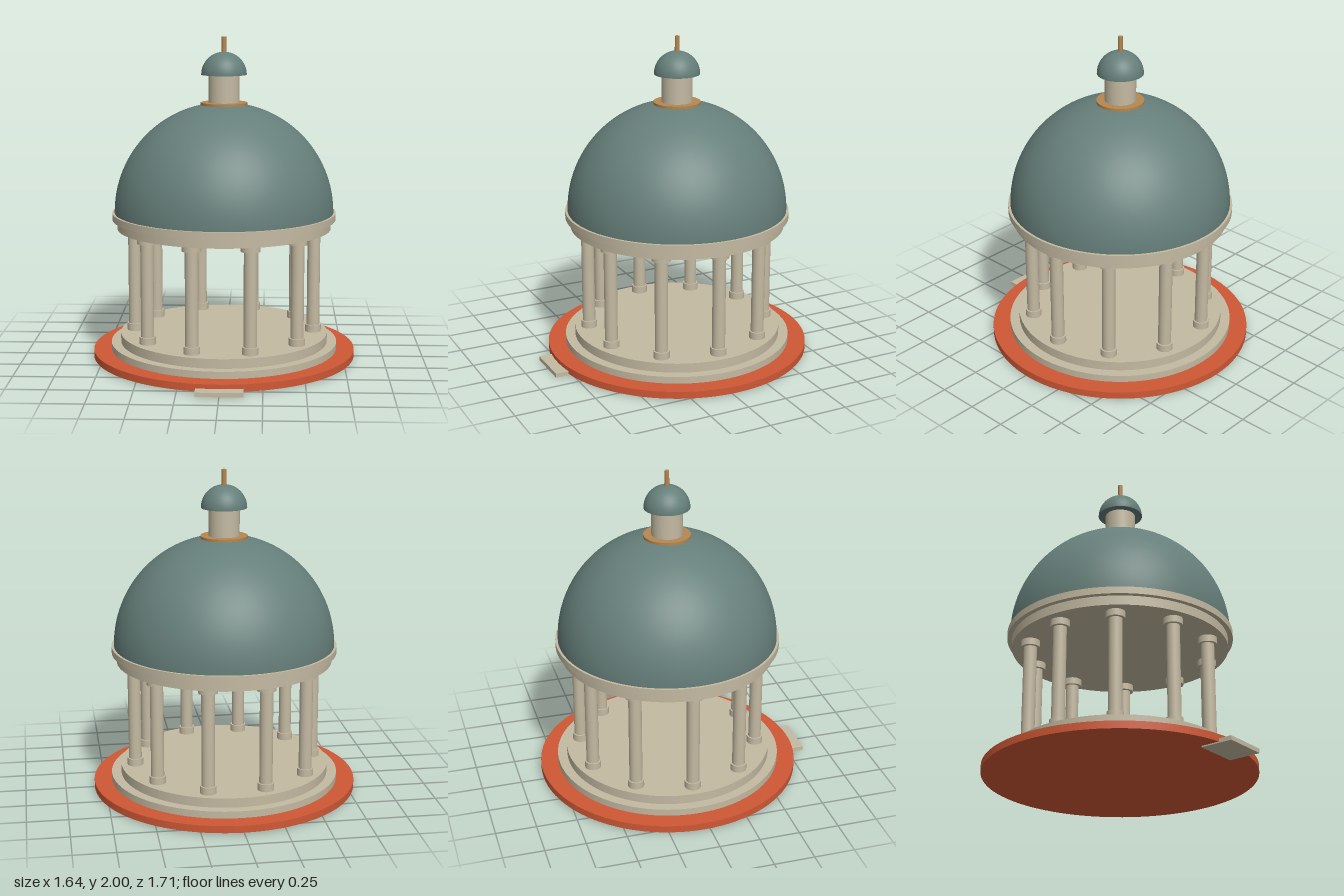
import * as THREE from 'three';

const mat = (name, color) => {
  const m = new THREE.MeshStandardMaterial({ color });
  m.name = name;
  return m;
};

export function createModel() {
  const stone = mat('stone', 0xc4baa2);
  const copper = mat('verdigris', 0x667f7a);
  const brick = mat('terracotta', 0xcf5835);
  const gold = mat('gold', 0xb5874f);

  const model = new THREE.Group();
  model.name = 'domedRotunda';
  // Everything round shares one axis, set slightly back to make room for the step
  const rotunda = new THREE.Group();
  rotunda.name = 'rotunda';
  rotunda.position.z = -0.035;
  model.add(rotunda);

  // Upright drum between two heights
  const drum = (name, parent, material, radius, y0, y1, sides = 96) => {
    const mesh = new THREE.Mesh(new THREE.CylinderGeometry(radius, radius, y1 - y0, sides), material);
    mesh.name = name;
    mesh.position.y = (y0 + y1) / 2;
    parent.add(mesh);
    return mesh;
  };

  // Hemisphere with a flat underside
  const dome = (name, radius, y, sides) => {
    const group = new THREE.Group();
    group.name = name;
    group.position.y = y;
    const shell = new THREE.Mesh(
      new THREE.SphereGeometry(radius, sides, sides / 3, 0, Math.PI * 2, 0, Math.PI / 2), copper);
    shell.name = name + 'Shell';
    const underside = new THREE.Mesh(new THREE.CircleGeometry(radius, sides), copper);
    underside.name = name + 'Underside';
    underside.rotation.x = Math.PI / 2;
    group.add(shell, underside);
    rotunda.add(group);
  };

  // Base and stepped plinth
  drum('groundDisc', rotunda, brick, 0.82, 0.008, 0.052);
  drum('lowerPlinth', rotunda, stone, 0.71, 0.052, 0.095);
  drum('upperPlinth', rotunda, stone, 0.65, 0.095, 0.153);

  // Ring of ten columns
  const count = 10;
  for (let i = 0; i < count; i++) {
    const a = ((i + 0.5) / count) * Math.PI * 2;
    const column = new THREE.Group();
    column.name = 'column';
    column.position.set(Math.sin(a) * 0.562, 0, Math.cos(a) * 0.562);
    drum('columnBase', column, stone, 0.05, 0.153, 0.198, 24);
    drum('columnShaft', column, stone, 0.04, 0.198, 0.775, 24);
    drum('columnCapital', column, stone, 0.058, 0.775, 0.817, 24);
    rotunda.add(column);
  }

  // Entablature and main dome
  drum('architrave', rotunda, stone, 0.665, 0.817, 0.875);
  drum('cornice', rotunda, stone, 0.695, 0.875, 0.918);
  dome('mainDome', 0.68, 0.916, 96);

  // Lantern, its cap and the finial
  drum('lanternCollar', rotunda, gold, 0.144, 1.582, 1.598, 64);
  drum('lantern', rotunda, stone, 0.095, 1.59, 1.772, 48);
  dome('lanternDome', 0.14, 1.768, 48);
  drum('finial', rotunda, gold, 0.014, 1.9, 2.0, 16);

  // Entrance step
  const step = new THREE.Mesh(new THREE.BoxGeometry(0.28, 0.026, 0.2), stone);
  step.name = 'entranceStep';
  step.position.set(0, 0.013, 0.755);
  model.add(step);

  return model;
}
